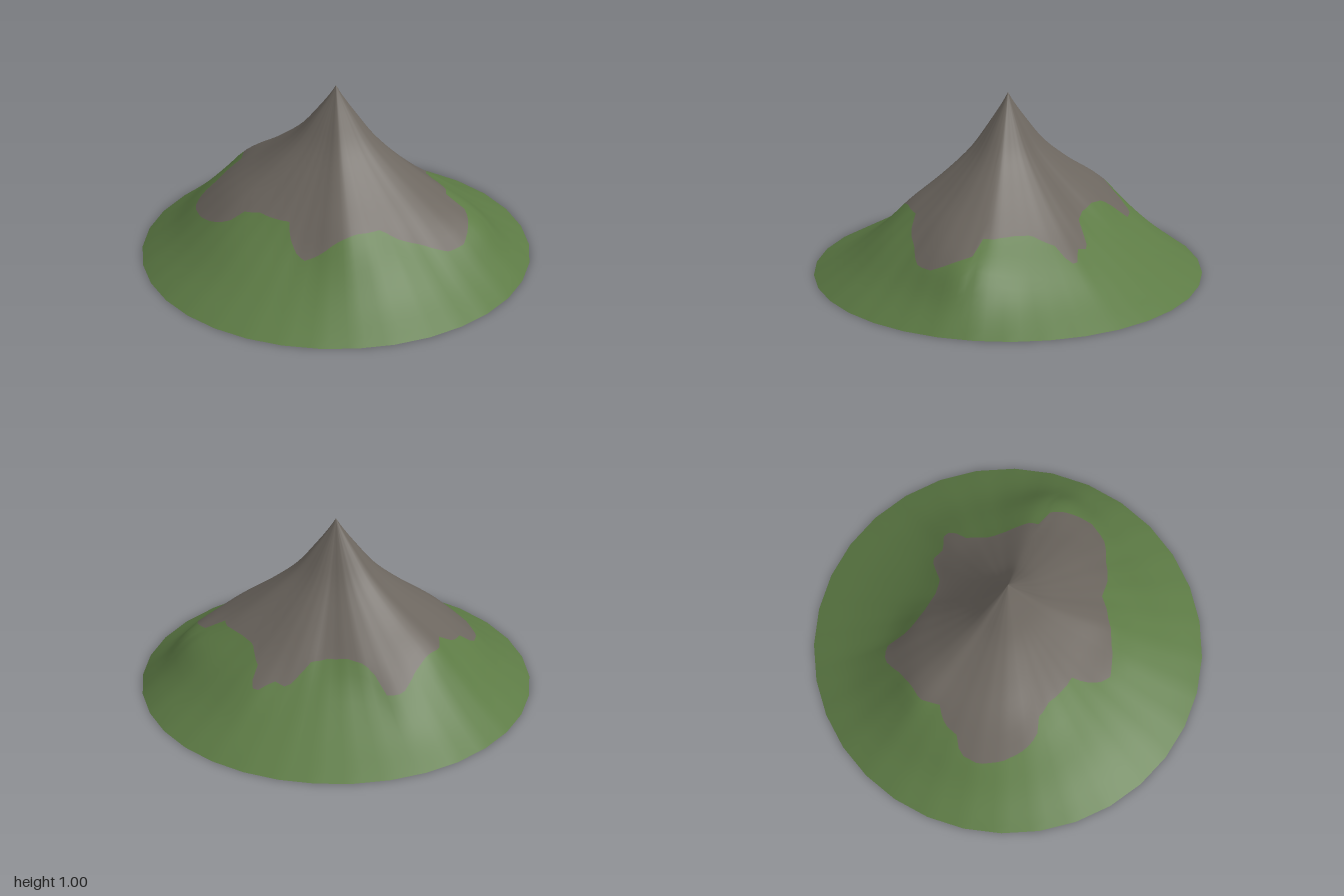
import * as THREE from 'three';

// Ridge plan: [degrees from front towards +x, radius at height 0.4, radius at height 0.27]
const RIDGES = [
  [0, 0.45, 0.585], [22, 0.52, 0.65], [43, 0.51, 0.67], [61, 0.53, 0.67], [75, 0.56, 0.71],
  [93, 0.575, 0.775], [104, 0.565, 0.74], [114, 0.515, 0.68], [125, 0.48, 0.64], [143, 0.455, 0.62],
  [159, 0.43, 0.57], [180, 0.41, 0.56], [204, 0.48, 0.6], [220, 0.53, 0.67], [243, 0.61, 0.72],
  [258, 0.57, 0.71], [282, 0.57, 0.71], [300, 0.55, 0.68], [321, 0.476, 0.64], [343, 0.44, 0.59],
];

// Lower edge of the bare rock: [degrees, radius]
const ROCK_EDGE = [
  [0, 0.58], [7, 0.565], [14, 0.545], [28, 0.52], [43, 0.51], [51, 0.576], [61, 0.63], [71, 0.72],
  [79, 0.743], [85, 0.732], [92, 0.7], [96, 0.674], [97.5, 0.574], [104, 0.567], [114, 0.515],
  [125, 0.49], [139, 0.547], [141, 0.62], [145, 0.646], [151, 0.56], [159, 0.557], [164, 0.488],
  [169, 0.43], [180, 0.41], [193, 0.43], [204, 0.483], [209, 0.55], [211, 0.628], [218, 0.656],
  [227, 0.616], [237, 0.6], [246, 0.613], [256, 0.567], [263, 0.625], [270, 0.64], [274, 0.712],
  [283, 0.728], [291, 0.706], [300, 0.667], [309, 0.604], [311.5, 0.53], [321, 0.476],
  [343, 0.44], [347, 0.49], [355, 0.56],
];

// Interpolates [x, y] points, smoothly (cubic) or in straight lines
function sample(points, x, smooth) {
  let k = 0;
  while (k < points.length - 2 && x > points[k + 1][0]) k++;
  const [x0, y0] = points[k], [x1, y1] = points[k + 1];
  const h = x1 - x0, t = (x - x0) / h;
  if (!smooth) return y0 + (y1 - y0) * t;
  const slope = (i) => {
    const a = points[Math.max(i - 1, 0)], b = points[Math.min(i + 1, points.length - 1)];
    return (b[1] - a[1]) / (b[0] - a[0]);
  };
  const t2 = t * t, t3 = t2 * t;
  return y0 * (2 * t3 - 3 * t2 + 1) + y1 * (3 * t2 - 2 * t3)
    + h * (slope(k) * (t3 - 2 * t2 + t) + slope(k + 1) * (t3 - t2));
}

// Repeats the first and last points so a table closes around the circle
function wrap(points) {
  const shift = (p, d) => [p[0] + d, p[1]];
  return [...points.slice(-2).map((p) => shift(p, -360)), ...points,
    ...points.slice(0, 2).map((p) => shift(p, 360))];
}

const upper = wrap(RIDGES.map((r) => [r[0], r[1]]));
const lower = wrap(RIDGES.map((r) => [r[0], r[2]]));
const edge = wrap(ROCK_EDGE);

// Slope profile at one angle: [radius, height] from the peak to the rim
function profileAt(deg) {
  const a = sample(upper, deg, true), b = sample(lower, deg, true);
  return [[0, 1], [0.05 * a, 0.95], [0.17 * a, 0.85], [0.37 * a, 0.7], [0.66 * a, 0.55],
    [a, 0.4], [b, 0.27], [b + 0.47 * (1 - b), 0.13], [1, 0]];
}

export function createModel() {
  const grass = new THREE.MeshStandardMaterial({ color: 0x5d7b45, side: THREE.DoubleSide });
  grass.name = 'grass green';
  const rock = new THREE.MeshStandardMaterial({ color: 0x6c665f, side: THREE.DoubleSide });
  rock.name = 'rock grey';

  const SEG = 128, SIDES = 32, GRASS_ROWS = 10, ROCK_ROWS = 18;
  const rows = GRASS_ROWS + ROCK_ROWS;
  const positions = [];

  // Rings from the rim up to the rock edge, then on to the peak
  for (let j = 0; j <= rows; j++) {
    for (let i = 0; i < SEG; i++) {
      const deg = (i / SEG) * 360, ang = THREE.MathUtils.degToRad(deg);
      const split = sample(edge, deg, false);
      const r = j <= GRASS_ROWS
        ? 1 + (split - 1) * (j / GRASS_ROWS)
        : split * Math.pow(1 - (j - GRASS_ROWS) / ROCK_ROWS, 1.3);
      const y = sample(profileAt(deg), r, true);
      // The rim is a regular polygon
      const step = (2 * Math.PI) / SIDES;
      const flat = Math.cos(step / 2) / Math.cos((ang % step) - step / 2);
      positions.push(r * flat * Math.sin(ang), y, r * flat * Math.cos(ang));
    }
  }

  const strip = (from, to) => {
    const index = [];
    for (let j = from; j < to; j++) {
      for (let i = 0; i < SEG; i++) {
        const n = (i + 1) % SEG;
        const a = j * SEG + i, b = j * SEG + n, c = b + SEG, d = a + SEG;
        index.push(a, b, c);
        if (j < rows - 1) index.push(a, c, d);
      }
    }
    return index;
  };

  // Normals are computed over the whole hill so the two parts blend smoothly
  const whole = new THREE.BufferGeometry();
  whole.setAttribute('position', new THREE.Float32BufferAttribute(positions, 3));
  whole.setIndex(strip(0, rows));
  whole.computeVertexNormals();

  const group = new THREE.Group();
  group.name = 'mountain';
  const addPart = (name, material, from, to) => {
    const geometry = whole.clone();
    geometry.setIndex(strip(from, to));
    const mesh = new THREE.Mesh(geometry, material);
    mesh.name = name;
    group.add(mesh);
  };
  addPart('grassySlope', grass, 0, GRASS_ROWS);
  addPart('rockyPeak', rock, GRASS_ROWS, rows);
  return group;
}
